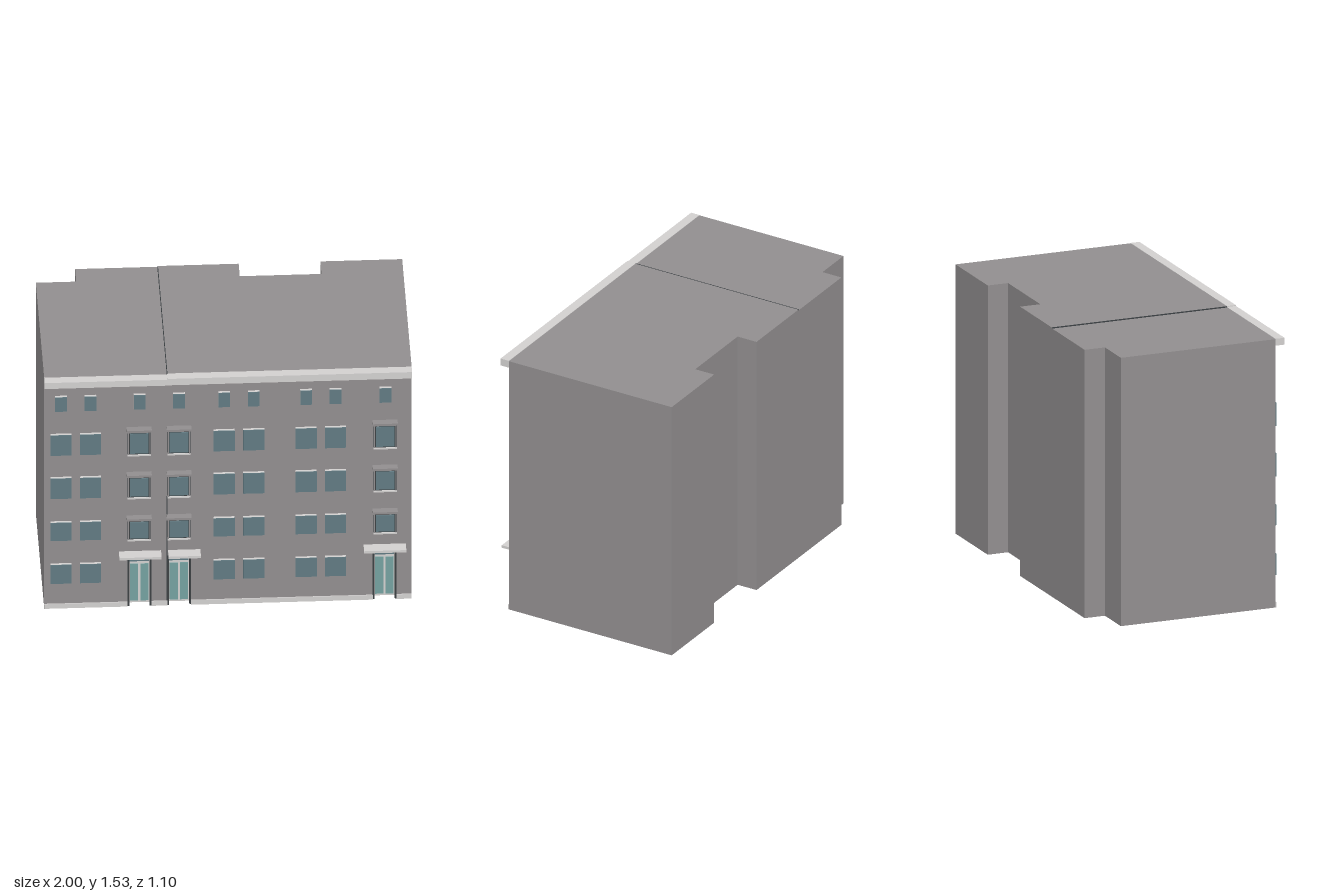
import * as THREE from 'three';

const mat = (name, color, side = THREE.FrontSide) => {
  const m = new THREE.MeshStandardMaterial({ color, side });
  m.name = name;
  return m;
};

export function createModel() {
  const wall = mat('wall grey', 0x918e8f);
  const trim = mat('pale trim', 0xd2d0cf);
  const glass = mat('window glass', 0x617a82);
  const doorGlass = mat('door glass', 0x74a09f);
  const dark = mat('dark frame', 0x3b4043);

  const model = new THREE.Group();
  model.name = 'apartmentBuilding';
  const FRONT = 0.485, INNER = 0.44, SEAM = -0.33;

  // Box given by its limits on each axis
  const box = (parent, name, m, x0, x1, y0, y1, z0, z1) => {
    const mesh = new THREE.Mesh(new THREE.BoxGeometry(x1 - x0, y1 - y0, z1 - z0), m);
    mesh.position.set((x0 + x1) / 2, (y0 + y1) / 2, (z0 + z1) / 2);
    mesh.name = name;
    parent.add(mesh);
    return mesh;
  };
  const group = (name) => {
    const g = new THREE.Group();
    g.name = name;
    model.add(g);
    return g;
  };

  const DOOR_W = 0.13, DOOR_H = 0.325;
  const doors = [
    { x: -0.481, canopy: [-0.594, -0.364] },
    { x: -0.265, canopy: [-0.326, -0.15] },
    { x: 0.853, canopy: [0.738, 0.968] },
  ];

  // Main volumes: stepped rear footprint, raised straight up
  const volume = (name, points, height) => {
    const shape = new THREE.Shape(points.map(([x, z]) => new THREE.Vector2(x, -z)));
    const geo = new THREE.ExtrudeGeometry(shape, { depth: height, bevelEnabled: false });
    geo.rotateX(-Math.PI / 2);
    const mesh = new THREE.Mesh(geo, wall);
    mesh.name = name;
    model.add(mesh);
  };
  volume('leftHouse', [[-1, INNER], [SEAM, INNER], [SEAM, -0.55], [-0.78, -0.55], [-0.78, -0.43], [-1, -0.43]], 1.52);
  volume('rightHouse', [[SEAM, INNER], [1, INNER], [1, -0.55], [0.555, -0.55], [0.555, -0.43],
    [0.11, -0.43], [0.11, -0.55], [SEAM, -0.55]], 1.525);

  // Front wall layer, notched for the recessed doorways
  const facade = (name, x0, x1, height) => {
    const s = new THREE.Shape();
    s.moveTo(x0, 0);
    for (const { x } of doors) {
      if (x < x0 || x > x1) continue;
      const a = Math.max(x - DOOR_W / 2, x0 + 0.002), b = x + DOOR_W / 2;
      s.lineTo(a, 0);
      s.lineTo(a, DOOR_H);
      s.lineTo(b, DOOR_H);
      s.lineTo(b, 0);
    }
    s.lineTo(x1, 0);
    s.lineTo(x1, height);
    s.lineTo(x0, height);
    const geo = new THREE.ExtrudeGeometry(s, { depth: FRONT - INNER, bevelEnabled: false });
    const mesh = new THREE.Mesh(geo, wall);
    mesh.position.z = INNER;
    mesh.name = name;
    model.add(mesh);
  };
  facade('leftFacade', -1, SEAM, 1.52);
  facade('rightFacade', SEAM, 1, 1.525);

  // Roof cornice, one length per house
  box(model, 'leftCornice', trim, -1, SEAM, 1.483, 1.522, FRONT, 0.538);
  box(model, 'rightCornice', trim, SEAM, 1, 1.485, 1.527, FRONT, 0.538);

  // Joint between the houses
  box(model, 'facadeJoint', dark, SEAM - 0.004, SEAM + 0.002, 0.03, 0.72, FRONT, 0.488);
  box(model, 'roofJoint', dark, SEAM - 0.003, SEAM + 0.001, 1.519, 1.526, -0.55, FRONT);

  // Plinth between the doorways
  let start = -1;
  for (const end of [...doors.map((d) => d.x), 1 + DOOR_W / 2]) {
    box(model, 'plinth', trim, start, end - DOOR_W / 2, 0, 0.03, FRONT, 0.49);
    start = end + DOOR_W / 2;
  }

  // Plain window: pale reveal with a glass pane on the front
  const plainWindow = (x, y0, y1, w) => {
    const g = group('window');
    box(g, 'reveal', trim, x - w / 2, x + w / 2, y0, y1, FRONT, 0.5);
    box(g, 'pane', glass, x - w / 2, x + w / 2, y0 + 0.002, y1, 0.5, 0.504);
  };
  const columns = [-0.909, -0.749, -0.021, 0.14, 0.425, 0.585];
  const rows = [[0.17, 0.295], [0.453, 0.573], [0.73, 0.865], [1.015, 1.15]];
  for (const x of columns) for (const [y0, y1] of rows) plainWindow(x, y0, y1, 0.115);
  for (const x of [...columns, -0.481, -0.267, 0.857]) plainWindow(x, 1.305, 1.4, 0.064);

  // Stair window: dark outline, wall-coloured frame, pane, sill and projecting lintel
  const stairWindow = (x, y0, y1) => {
    const g = group('stairWindow');
    const w = 0.063;
    box(g, 'outline', dark, x - w, x + w, y0, y1, FRONT, 0.506);
    for (const s of [-1, 1]) {
      const e = x + s * (w - 0.005);
      box(g, 'jamb', wall, e - 0.003, e + 0.003, y0 + 0.004, y1, 0.5, 0.511);
    }
    box(g, 'pane', glass, x - 0.051, x + 0.051, y0 + 0.014, y1 - 0.012, 0.506, 0.512);
    box(g, 'sill', trim, x - w, x + w, y0 - 0.002, y0 + 0.006, FRONT, 0.514);
    box(g, 'lintel', wall, x - 0.068, x + 0.068, y1 + 0.004, y1 + 0.018, FRONT, 0.525);
  };
  for (const x of [-0.484, -0.268, 0.855])
    for (const [y0, y1] of [[0.448, 0.58], [0.725, 0.867], [1.008, 1.163]]) stairWindow(x, y0, y1);

  // Recessed entrances with double doors, transom and canopy
  for (const { x, canopy } of doors) {
    const g = group('entrance');
    const w = DOOR_W / 2;
    box(g, 'doorFrame', trim, x - w + 0.01, x + w - 0.01, 0, 0.32, INNER, 0.45);
    for (const s of [-1, 1]) {
      const e = x + s * (w - 0.005);
      box(g, 'jamb', dark, e - 0.005, e + 0.005, 0, DOOR_H, INNER, 0.484);
      const c = x + s * 0.028;
      box(g, 'doorLeaf', doorGlass, c - 0.022, c + 0.022, 0.014, 0.255, 0.45, 0.455);
    }
    box(g, 'transom', glass, x - w + 0.012, x + w - 0.012, 0.273, 0.308, 0.45, 0.455);
    box(g, 'canopy', trim, canopy[0], canopy[1], 0.347, 0.362, FRONT, 0.55);
  }

  return model;
}
